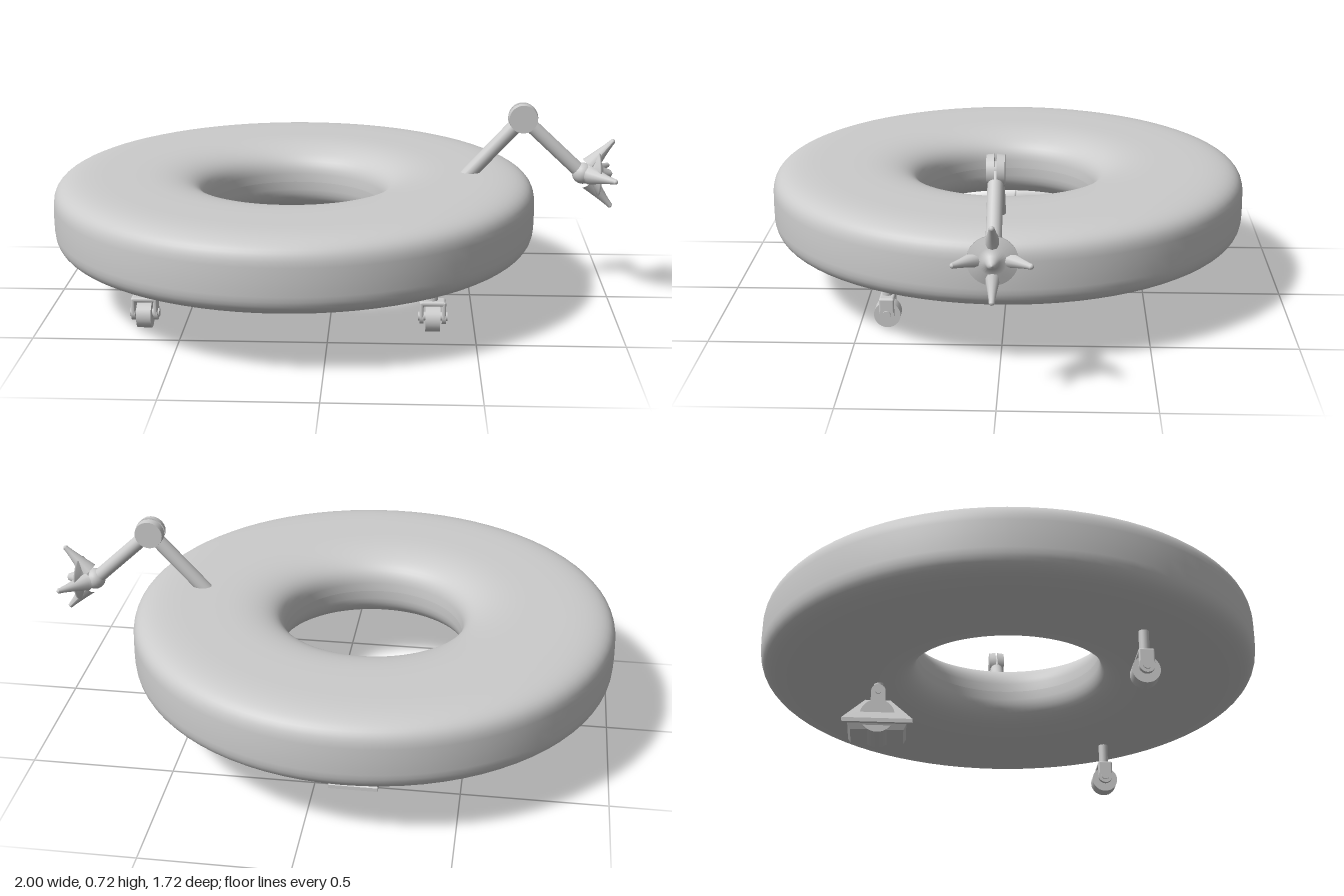
import * as THREE from 'three';
import { RoundedBoxGeometry } from 'three/addons/geometries/RoundedBoxGeometry.js';

const material = new THREE.MeshStandardMaterial({ color: 0xcccccc });
const V = (x, y, z) => new THREE.Vector3(x, y, z);

function add(parent, name, geometry, x = 0, y = 0, z = 0) {
  const mesh = new THREE.Mesh(geometry, material);
  mesh.name = name;
  mesh.position.set(x, y, z);
  parent.add(mesh);
  return mesh;
}

function group(parent, name, x = 0, y = 0, z = 0) {
  const g = new THREE.Group();
  g.name = name;
  g.position.set(x, y, z);
  parent.add(g);
  return g;
}

// Cylinder running from a to b
function rod(parent, name, a, b, ra, rb = ra, sides = 20) {
  const dir = b.clone().sub(a);
  const mid = a.clone().add(b).multiplyScalar(0.5);
  const mesh = add(parent, name, new THREE.CylinderGeometry(rb, ra, dir.length(), sides), mid.x, mid.y, mid.z);
  mesh.quaternion.setFromUnitVectors(V(0, 1, 0), dir.normalize());
  return mesh;
}

// Box whose top face is scaled to a narrower rectangle
function taperedBox(w, h, d, topX, topZ) {
  const g = new THREE.BoxGeometry(w, h, d).toNonIndexed();
  const p = g.attributes.position;
  for (let i = 0; i < p.count; i++) {
    if (p.getY(i) > 0) p.setXYZ(i, p.getX(i) * topX, p.getY(i), p.getZ(i) * topZ);
  }
  g.computeVertexNormals();
  return g;
}

// Ring body: soft squared cross-section, rounder towards the hole
function ringGeometry() {
  const points = [];
  const steps = 56;
  for (let i = 0; i <= steps; i++) {
    const a = -Math.PI + (i / steps) * Math.PI * 2;
    const c = Math.cos(a), s = Math.sin(a);
    const e = 2 / (c > 0 ? 4.2 : 3);
    points.push(new THREE.Vector2(
      0.59 + 0.27 * Math.sign(c) * Math.abs(c) ** e,
      0.325 + 0.135 * Math.sign(s) * Math.abs(s) ** e));
  }
  return new THREE.LatheGeometry(points, 80);
}

// Caster: stem, arched fork and wheel
function caster(parent, name, x) {
  const g = group(parent, name, x, 0, 0.4);
  rod(g, 'casterStem', V(0, 0.1, 0), V(0, 0.22, 0), 0.017);
  rod(g, 'wheel', V(-0.025, 0.046, 0), V(0.025, 0.046, 0), 0.046, 0.046, 28);
  rod(g, 'axle', V(-0.05, 0.053, 0), V(0.05, 0.053, 0), 0.015);
  add(g, 'forkBridge', new RoundedBoxGeometry(0.086, 0.018, 0.052, 3, 0.008), 0, 0.104, 0);
  for (const s of [-1, 1]) {
    add(g, 'forkSide', new RoundedBoxGeometry(0.014, 0.062, 0.052, 3, 0.006), s * 0.038, 0.08, 0);
    rod(g, 'forkEnd', V(s * 0.031, 0.053, 0), V(s * 0.045, 0.053, 0), 0.026);
  }
}

// Foot: sloping pad hung from a pinned bracket
function foot(parent) {
  const g = group(parent, 'foot', -0.14, 0, -0.45);
  add(g, 'sole', taperedBox(0.13, 0.022, 0.18, 1.12, 1.12), 0, 0.011, 0);
  add(g, 'padRim', new THREE.BoxGeometry(0.17, 0.014, 0.24), 0, 0.027, 0);
  add(g, 'padBody', taperedBox(0.17, 0.086, 0.24, 0.45, 0.36), 0, 0.077, 0);
  rod(g, 'padBarrel', V(-0.07, 0.05, 0), V(0.07, 0.05, 0), 0.06, 0.06, 32);
  for (const s of [-1, 1]) {
    add(g, 'bracketTab', new THREE.BoxGeometry(0.014, 0.055, 0.05), s * 0.022, 0.135, 0);
    rod(g, 'bracketTabEnd', V(s * 0.015, 0.16, 0), V(s * 0.029, 0.16, 0), 0.025);
  }
  rod(g, 'bracketPin', V(-0.034, 0.158, 0), V(0.034, 0.158, 0), 0.01);
  rod(g, 'footStem', V(0, 0.13, 0), V(0, 0.22, 0), 0.016);
}

// Curved claw with a round tip, swept as a narrowing tube
function clawGeometry() {
  const path = new THREE.QuadraticBezierCurve3(V(-0.015, 0.03, 0), V(0.018, 0.07, 0), V(0.064, 0.12, 0));
  const rows = 12, sides = 12;
  const g = new THREE.TubeGeometry(path, rows, 1, sides);
  const p = g.attributes.position;
  for (let i = 0; i < p.count; i++) {
    const t = Math.floor(i / (sides + 1)) / rows;
    const c = path.getPointAt(t);
    const r = 0.009 + 0.025 * (1 - t) ** 1.3;
    const q = V(p.getX(i), p.getY(i), p.getZ(i)).sub(c).multiplyScalar(r).add(c);
    p.setXYZ(i, q.x, q.y, q.z);
  }
  g.computeVertexNormals();
  return g;
}

// Two-part arm with a four-clawed hand
function arm(parent) {
  const g = group(parent, 'arm', 0, 0, 0.012);
  const elbow = V(0.672, 0.66, 0);
  rod(g, 'upperArm', V(0.44, 0.405, 0), elbow, 0.026);
  rod(g, 'forearm', elbow, V(0.885, 0.462, 0), 0.025);
  for (const s of [-1, 1]) {
    rod(g, 'elbowDisc', V(0.672, 0.66, s * 0.004), V(0.672, 0.66, s * 0.029), 0.053, 0.05, 32);
  }
  rod(g, 'elbowPin', V(0.672, 0.66, -0.02), V(0.672, 0.66, 0.02), 0.03);

  const hand = group(g, 'hand', 0.93, 0.46, 0);
  add(hand, 'wrist', new THREE.SphereGeometry(0.038, 20, 14), -0.04, 0, 0);
  const hubProfile = [[0, -0.035], [0.032, -0.035], [0.036, -0.015], [0.055, 0],
    [0.079, 0.012], [0.079, 0.018], [0.045, 0.022], [0.022, 0.034], [0.012, 0.06], [0, 0.066]]
    .map(([r, h]) => new THREE.Vector2(r, h));
  add(hand, 'palm', new THREE.LatheGeometry(hubProfile, 32)).rotation.z = -Math.PI / 2;
  const claw = clawGeometry();
  const tip = new THREE.SphereGeometry(0.009, 12, 8);
  for (let i = 0; i < 4; i++) {
    const finger = group(hand, 'claw');
    finger.rotation.x = i * Math.PI / 2;
    add(finger, 'clawBody', claw);
    add(finger, 'clawTip', tip, 0.061, 0.117, 0);
  }
}

export function createModel() {
  const model = new THREE.Group();
  model.name = 'ringRobot';
  add(model, 'ringBody', ringGeometry(), -0.14, 0, 0);
  caster(model, 'rightCaster', -0.63);
  caster(model, 'leftCaster', 0.355);
  foot(model);
  arm(model);
  return model;
}
